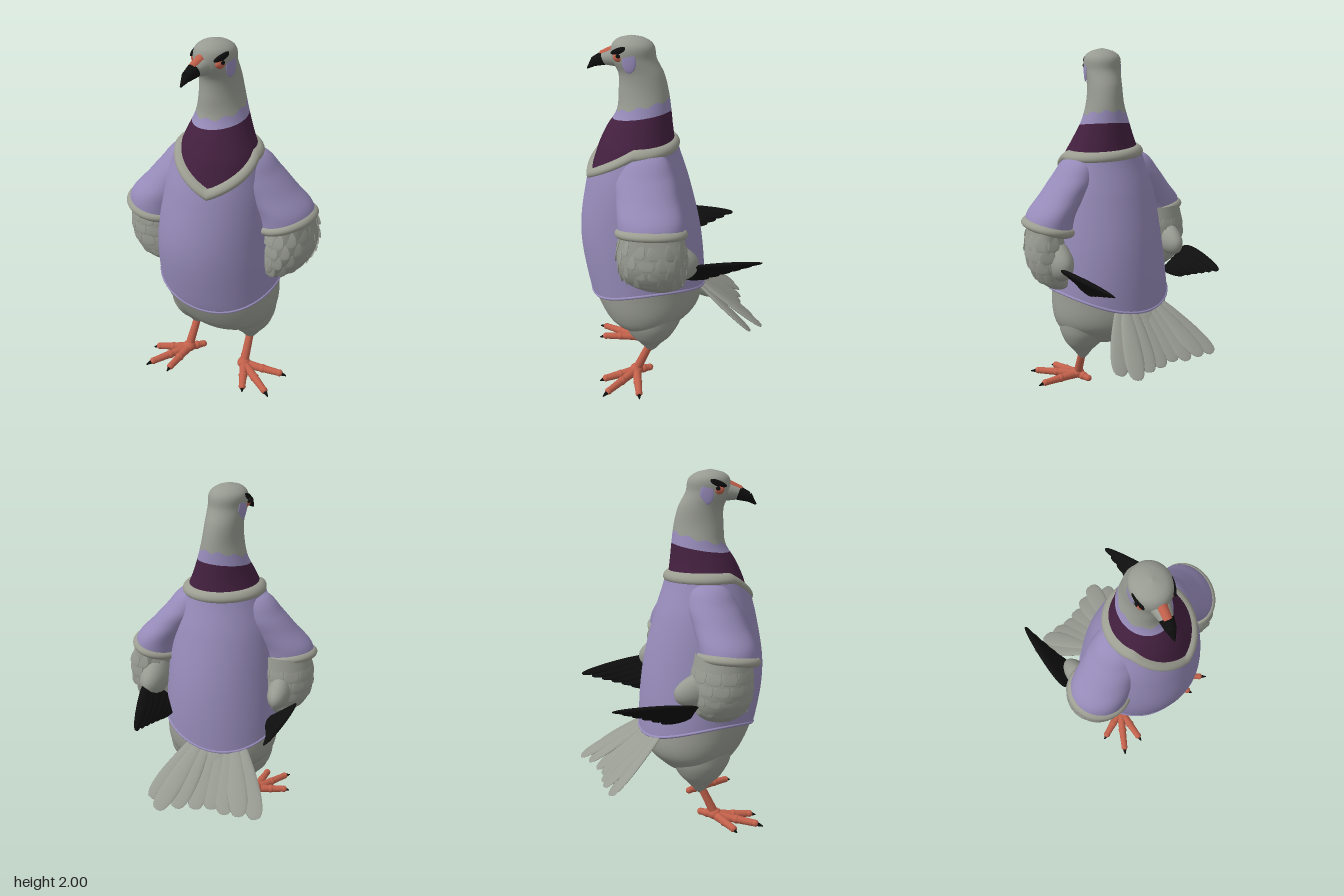
import * as THREE from 'three';

const mat = (name, color, side = THREE.FrontSide) => {
  const m = new THREE.MeshStandardMaterial({ color, side });
  m.name = name;
  return m;
};
const V = (x, y, z) => new THREE.Vector3(x, y, z);
const mix = THREE.MathUtils.lerp;

// Smooth interpolation through rows of [y, centreX, centreZ, radiusX, radiusZ]
function sectionAt(rows, y) {
  let i = 0;
  while (i < rows.length - 2 && y > rows[i + 1][0]) i++;
  const a = rows[i], b = rows[i + 1], h = b[0] - a[0];
  const p = rows[Math.max(i - 1, 0)], n = rows[Math.min(i + 2, rows.length - 1)];
  const t = Math.min(1, Math.max(0, (y - a[0]) / h)), t2 = t * t, t3 = t2 * t;
  return [1, 2, 3, 4].map((k) => {
    const m0 = (b[k] - p[k]) / (b[0] - p[0]) * h, m1 = (n[k] - a[k]) / (n[0] - a[0]) * h;
    return (2 * t3 - 3 * t2 + 1) * a[k] + (t3 - 2 * t2 + t) * m0 + (3 * t2 - 2 * t3) * b[k] + (t3 - t2) * m1;
  });
}

// Point on a sectioned surface; angle 0 faces +z
function surfacePoint(rows, angle, y, grow) {
  const [cx, cz, rx, rz] = sectionAt(rows, y);
  return V(cx + (Math.max(rx, 0) + grow) * Math.sin(angle), y, cz + (Math.max(rz, 0) + grow) * Math.cos(angle));
}

// Strip of a sectioned surface between two heights given per angle, with an optional rounded bulge
function band(rows, low, high, grow = 0, steps = 32, sides = 64, bulge = 0) {
  const pos = [], idx = [];
  for (let j = 0; j <= steps; j++) for (let i = 0; i < sides; i++) {
    const a = (i / sides) * Math.PI * 2, v = j / steps;
    const out = grow + bulge * Math.sqrt(Math.max(0, Math.sin(Math.PI * v)));
    pos.push(...surfacePoint(rows, a, mix(low(a), high(a), v), out).toArray());
    if (j < steps) {
      const p = j * sides + i, q = j * sides + (i + 1) % sides;
      idx.push(p, q, q + sides, p, q + sides, p + sides);
    }
  }
  const g = new THREE.BufferGeometry();
  g.setAttribute('position', new THREE.Float32BufferAttribute(pos, 3));
  g.setIndex(idx);
  g.computeVertexNormals();
  return g;
}
const whole = (rows) => band(rows, () => rows[0][0], () => rows[rows.length - 1][0], 0, 24, 40);
// Ribbed edging around a sectioned surface
const edging = (rows, height, half, grow, bulge) =>
  band(rows, (a) => height(a) - half, (a) => height(a) + half, grow, 12, 64, bulge);

// Tapered round rod between two points
function rod(a, b, r0, r1) {
  const d = b.clone().sub(a), g = new THREE.CylinderGeometry(r1, r0, d.length(), 14);
  g.applyQuaternion(new THREE.Quaternion().setFromUnitVectors(V(0, 1, 0), d.normalize()));
  return g.translate((a.x + b.x) / 2, (a.y + b.y) / 2, (a.z + b.z) / 2);
}

// Flat blunt leaf from a to b, widest past the middle when flare > 0
function feather(a, b, across, width, thick, flare) {
  const d = b.clone().sub(a), len = d.length();
  const yAxis = d.normalize(), n = across.clone().cross(yAxis).normalize();
  const xAxis = yAxis.clone().cross(n).normalize();
  const g = new THREE.SphereGeometry(1, 16, 16), p = g.attributes.position;
  for (let i = 0; i < p.count; i++) {
    const y = p.getY(i), blunt = Math.pow(Math.max(1 - y * y, 0.02), -0.15);
    p.setXYZ(i, p.getX(i) * blunt * (1 + flare * y) * width / 2, y * len / 2, p.getZ(i) * thick / 2);
  }
  g.computeVertexNormals();
  g.applyMatrix4(new THREE.Matrix4().makeBasis(xAxis, yAxis, n));
  return g.translate((a.x + b.x) / 2, (a.y + b.y) / 2, (a.z + b.z) / 2);
}

const ball = (c, sx, sy, sz) => new THREE.SphereGeometry(1, 20, 14).scale(sx, sy, sz).translate(c.x, c.y, c.z);

const grey = mat('plumage grey', 0x989b92);
const shirt = mat('shirt lavender', 0x968bb9, THREE.DoubleSide);
const trim = mat('trim grey', 0x9d9e92);
const plum = mat('neck plum', 0x43203f);
const black = mat('feather black', 0x0e0e0e);
const coral = mat('skin coral', 0xc2614b);
const add = (parent, name, geo, material) => {
  const m = new THREE.Mesh(geo, material);
  m.name = name;
  parent.add(m);
};
const subgroup = (parent, name) => {
  const g = new THREE.Group();
  g.name = name;
  parent.add(g);
  return g;
};

// Belly, shirt, neck and head share one set of sections
function buildBody(root) {
  const rows = [
    [0.28, 0.03, 0.12, 0, 0], [0.3, 0.03, 0.12, 0.17, 0.13], [0.36, 0.03, 0.125, 0.28, 0.22],
    [0.45, 0.02, 0.12, 0.335, 0.29], [0.6, 0.02, 0.14, 0.34, 0.325], [0.9, 0.03, 0.17, 0.32, 0.332],
    [1.2, 0.04, 0.18, 0.28, 0.275], [1.4, 0.045, 0.18, 0.22, 0.215], [1.5, 0.04, 0.165, 0.175, 0.185],
    [1.6, 0.035, 0.14, 0.135, 0.15], [1.7, 0.035, 0.14, 0.107, 0.138], [1.8, 0.035, 0.152, 0.098, 0.125],
    [1.88, 0.04, 0.19, 0.102, 0.123], [1.95, 0.04, 0.195, 0.1, 0.112], [1.985, 0.04, 0.2, 0.06, 0.068],
    [2.0, 0.04, 0.2, 0, 0]];
  const turn = (a) => Math.abs(Math.atan2(Math.sin(a - 0.5), Math.cos(a - 0.5)));
  const collar = (a) => 1.42 - 0.012 * Math.sin(a) - 0.16 * Math.max(0, 1 - turn(a) / 1.25);
  const hem = (a) => 0.588 - 0.048 * Math.cos(2 * turn(a));
  const plumTop = (a) => 1.58 - 0.025 * Math.cos(a);
  const lilacTop = (a) => 1.635 - 0.035 * Math.cos(a) + 0.008 * Math.sin(9 * a);
  add(root, 'belly', band(rows, () => 0.28, () => 0.8), grey);
  add(root, 'shirtTorso', band(rows, hem, collar, 0.014, 40), shirt);
  add(root, 'shirtHem', edging(rows, hem, 0.012, 0, 0.02), shirt);
  add(root, 'collar', edging(rows, collar, 0.03, 0, 0.026), trim);
  add(root, 'neckPlum', band(rows, (a) => collar(a) - 0.03, plumTop), plum);
  add(root, 'neckLilac', band(rows, plumTop, lilacTop, 0, 6), shirt);
  add(root, 'head', band(rows, lilacTop, () => 2, 0, 48), grey);
}

function buildFace(root) {
  for (const s of [-1, 1]) {
    const x = (d) => 0.04 + s * d;
    add(root, 'eye', ball(V(x(0.08), 1.895, 0.247), 0.02, 0.025, 0.033), coral);
    add(root, 'pupil', ball(V(x(0.097), 1.903, 0.247), 0.006, 0.011, 0.013), black);
    add(root, 'brow', feather(V(x(0.098), 1.942, 0.2), V(x(0.078), 1.915, 0.292), V(0, 1, 0), 0.036, 0.024, -0.3), black);
    add(root, 'cheek', ball(V(x(0.098), 1.875, 0.188), 0.007, 0.058, 0.038), shirt);
  }
  add(root, 'snout', rod(V(0.042, 1.885, 0.27), V(0.045, 1.872, 0.365), 0.058, 0.034), grey);
  add(root, 'cere', rod(V(0.043, 1.915, 0.3), V(0.045, 1.887, 0.368), 0.028, 0.024), coral);
  add(root, 'beakBase', rod(V(0.045, 1.872, 0.355), V(0.045, 1.852, 0.41), 0.038, 0.027), black);
  add(root, 'beakTip', rod(V(0.045, 1.853, 0.407), V(0.045, 1.812, 0.452), 0.027, 0.004), black);
}

// Sections swept from point [x, z] p to q; levels are [y, travel, radius factor]
const sweep = (levels, p, q, r) =>
  levels.map(([y, t, k]) => [y, mix(p[0], q[0], t), mix(p[1], q[1], t), r[0] * k, r[1] * k]);
const sleeveLevels = [[0.97, 1.05, 1], [1.1, 0.93, 1], [1.2, 0.6, 0.95], [1.3, 0.28, 0.9], [1.4, 0.1, 0.58], [1.43, 0, 0]];
const wingLevels = [[0.655, 0, 0], [0.685, 0.15, 0.55], [0.75, 0.6, 0.9], [0.85, 1, 1], [0.95, 1, 1], [1.07, 0.95, 0.88]];

// Arm with sleeve, grey wing, covert scales and dark flight feathers; s is +1 on the model's left
function buildArm(root, name, s, sleeve, wing, wrist, wristSize, base, tip) {
  const g = subgroup(root, name);
  const cuff = (a) => 1.03 + 0.035 * s * Math.sin(a) - 0.01 * Math.cos(a);
  add(g, 'sleeve', band(sleeve, cuff, () => 1.43, 0, 24, 40), shirt);
  add(g, 'cuff', edging(sleeve, cuff, 0.026, -0.01, 0.026), trim);
  add(g, 'upperWing', whole(wing), grey);
  add(g, 'wrist', feather(wrist[0], wrist[1], V(0, 1, 0), wristSize[0], wristSize[1], -0.25), grey);
  for (let r = 0; r < 4; r++) for (let i = 0; i < 12; i++) {
    const a = ((i + (r % 2) / 2) / 12) * Math.PI * 2, y = 0.78 + r * 0.065;
    add(g, 'covert', feather(surfacePoint(wing, a, y + 0.05, -0.007), surfacePoint(wing, a, y - 0.04, 0.002),
      V(Math.cos(a), 0, -Math.sin(a)), 0.085, 0.01, 0.2), grey);
  }
  const across = base[0].clone().sub(base[1]);
  for (let i = 0; i < 6; i++) {
    add(g, 'flightFeather', feather(base[0].clone().lerp(base[1], i / 5), tip[0].clone().lerp(tip[1], i / 5),
      across, 0.075, 0.035, -0.25), black);
  }
}

// Thigh, shank and four clawed toes
function buildLeg(root, name, x, z, ankle, toes) {
  const g = subgroup(root, name), lean = x > 0.02 ? -0.02 : 0.02;
  const levels = [[0.165, 0, 0], [0.19, 0, 0.17], [0.24, 0, 0.4], [0.3, 0.2, 0.72], [0.4, 1, 1], [0.5, 1.8, 0.93], [0.56, 2, 0]];
  add(g, 'thigh', whole(sweep(levels, [x, z], [x + lean, z], [0.158, 0.175])), grey);
  add(g, 'shank', rod(V(x, 0.22, z), ankle, 0.022, 0.026), coral);
  add(g, 'ankle', ball(ankle, 0.04, 0.034, 0.04), coral);
  for (const [tx, tz] of toes) {
    const end = V(tx, 0.012, tz), from = ankle.clone().setY(0.028);
    const mid = from.clone().lerp(end, 0.45).setY(0.025), nail = from.clone().lerp(end, 0.84).setY(0.022);
    add(g, 'toeBase', rod(from, mid, 0.028, 0.022), coral);
    add(g, 'knuckle', ball(mid, 0.026, 0.025, 0.026), coral);
    add(g, 'toe', rod(mid, nail, 0.023, 0.019), coral);
    add(g, 'toeTip', ball(nail, 0.021, 0.02, 0.021), coral);
    add(g, 'claw', rod(nail, end, 0.016, 0.003), black);
  }
}

// Fan of tail feathers, longer towards the model's left
function buildTail(root) {
  [-0.3, -0.345, -0.37, -0.385, -0.43, -0.49, -0.555, -0.5].forEach((z, i) => {
    const t = i / 7, a = V(-0.2 + 0.2 * t, 0.6, -0.02 - 0.1 * t);
    const b = V(-0.51 + 0.585 * t, 0.31 + 0.008 * (i % 2), z);
    add(root, 'tailFeather', feather(a, b, V(0.9, 0, -0.35), 0.105, 0.026, 0.4), grey);
  });
  add(root, 'tailBase', feather(V(-0.04, 0.62, 0), V(-0.16, 0.42, -0.24), V(0.9, 0, -0.35), 0.26, 0.1, -0.1), grey);
}

export function createModel() {
  const root = new THREE.Group();
  root.name = 'pigeonInShirt';
  buildBody(root);
  buildFace(root);
  buildTail(root);
  buildArm(root, 'rightArm', -1,
    sweep(sleeveLevels, [-0.09, 0.19], [-0.295, 0.32], [0.165, 0.155]),
    sweep(wingLevels, [-0.24, 0.27], [-0.305, 0.29], [0.167, 0.165]),
    [V(-0.33, 0.9, 0.26), V(-0.39, 0.84, 0.04)], [0.18, 0.13],
    [V(-0.45, 0.81, 0.17), V(-0.33, 0.71, 0.13)], [V(-0.53, 0.8, -0.275), V(-0.41, 0.7, -0.03)]);
  buildArm(root, 'leftArm', 1,
    sweep(sleeveLevels, [0.16, 0.12], [0.385, 0.01], [0.14, 0.18]),
    sweep(wingLevels, [0.33, 0], [0.415, 0], [0.105, 0.19]),
    [V(0.41, 0.88, 0.05), V(0.31, 0.83, -0.23)], [0.24, 0.17],
    [V(0.37, 0.83, -0.14), V(0.24, 0.71, -0.04)], [V(0.115, 0.79, -0.555), V(0.19, 0.7, -0.27)]);
  buildLeg(root, 'rightLeg', -0.15, 0.17, V(-0.15, 0.035, 0.26), [[-0.24, 0.54], [-0.105, 0.5], [-0.325, 0.39], [-0.1, 0.16]]);
  buildLeg(root, 'leftLeg', 0.19, 0.075, V(0.21, 0.035, 0.16), [[0.49, 0.28], [0.35, 0.345], [0.46, 0.07], [0.145, 0.08]]);
  return root;
}
